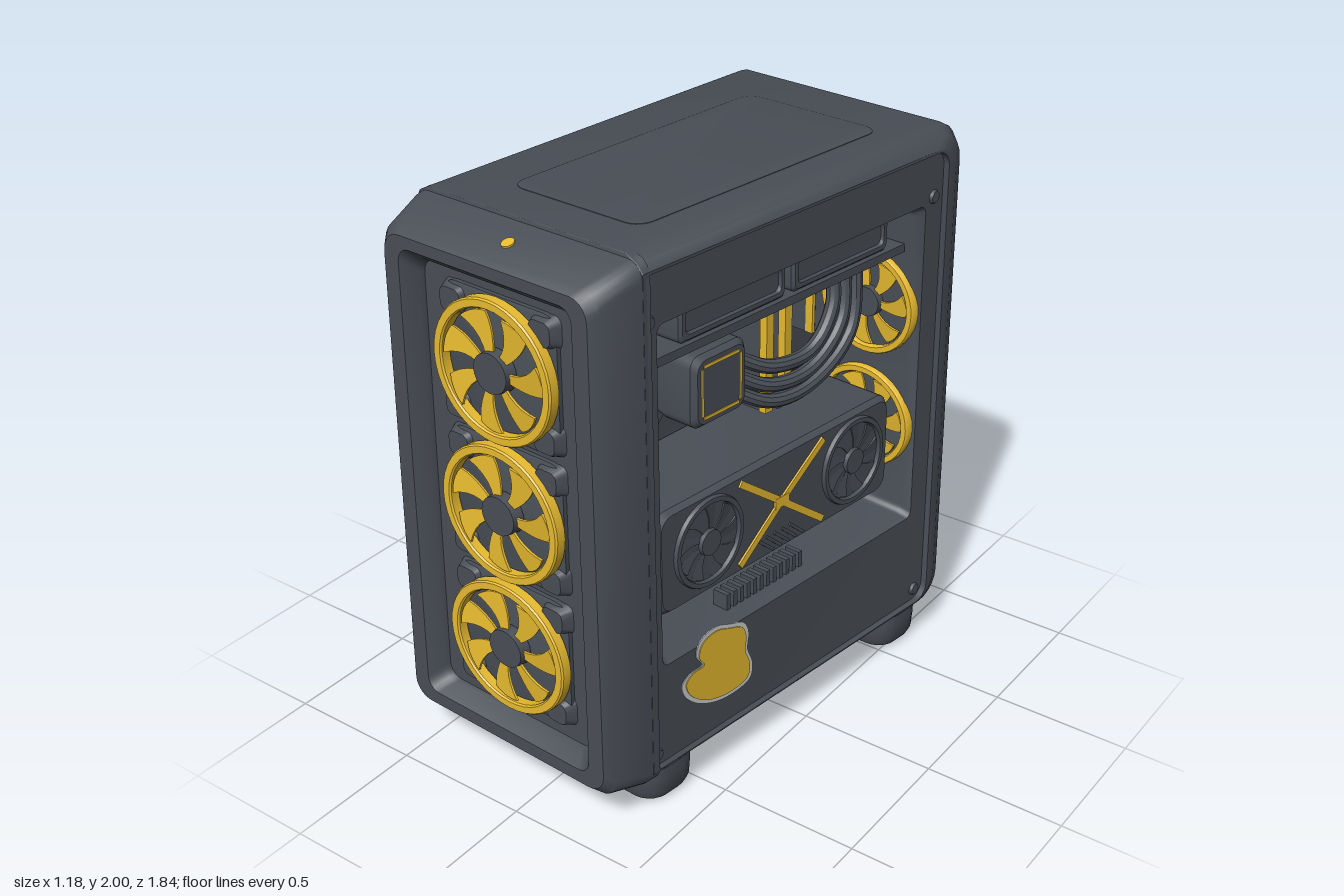
import * as THREE from 'three';
import { mergeGeometries, toCreasedNormals } from 'three/addons/utils/BufferGeometryUtils.js';

const material = (name, color) => {
  const m = new THREE.MeshStandardMaterial({ color });
  m.name = name;
  return m;
};

// Case space (x -0.5..0.5, z -0.9..0.9) is bent to the skewed, tapering footprint.
function warp(geo) {
  const p = geo.attributes.position, mix = THREE.MathUtils.lerp;
  for (let i = 0; i < p.count; i++) {
    const s = p.getX(i) + 0.5, y = p.getY(i), t = (p.getZ(i) + 0.9) / 1.8;
    const x = mix(mix(-0.45, 0.6, s), mix(-0.605, 0.36, s), t);
    const z = mix(mix(-0.925, -0.825, s), mix(0.865, 0.92, s), t);
    p.setXYZ(i, x * (1 - 0.026 * (y - 0.2)), y, z);
  }
  return geo;
}

// Rounded rectangle as a loop of points; r1 and r2 are the radii at the a0 and a1 sides.
function loopPoints(a0, a1, b0, b1, r1, r2) {
  const corners = [[a1 - r2, b0 + r2, r2, -1], [a1 - r2, b1 - r2, r2, 0], [a0 + r1, b1 - r1, r1, 1], [a0 + r1, b0 + r1, r1, 2]];
  return corners.flatMap(([a, b, r, q]) => [0, 1, 2, 3, 4, 5].map((k) => {
    const t = (q + k / 5) * Math.PI / 2;
    return [a + r * Math.cos(t), b + r * Math.sin(t)];
  }));
}

// Skin through rounded rectangles [c, a0, a1, b0, b1, r1, r2], capped at both ends.
// Axis x: a = -z, b = y.  Axis y: a = x, b = -z.  Axis z: a = x, b = y.
function loft(axis, loops) {
  const place = { x: (a, b, c) => [c, b, -a], y: (a, b, c) => [a, c, -b], z: (a, b, c) => [a, b, c] }[axis];
  const pos = [], idx = [], n = 24;
  for (const [c, a0, a1, b0, b1, r1, r2 = r1] of loops)
    for (const [a, b] of loopPoints(a0, a1, b0, b1, r1, r2)) pos.push(...place(a, b, c));
  for (let i = 0; i < loops.length - 1; i++)
    for (let j = 0; j < n; j++) {
      const k = (j + 1) % n, a = i * n + j, b = i * n + k, c = a + n, d = b + n;
      idx.push(a, b, d, a, d, c);
    }
  const last = (loops.length - 1) * n;
  for (let j = 1; j < n - 1; j++) idx.push(0, j + 1, j, last, last + j, last + j + 1);
  const g = new THREE.BufferGeometry();
  g.setAttribute('position', new THREE.Float32BufferAttribute(pos, 3));
  g.setIndex(idx);
  return g;
}

const box = (x, y, z, w, h, d) => new THREE.BoxGeometry(w, h, d).translate(x, y, z);

export function createModel() {
  const model = new THREE.Group();
  model.name = 'computerCase';
  const grey = material('slateGrey', 0x494e56);
  const yellow = material('yellow', 0xe8bb30);
  const pale = material('paleGrey', 0xcdd0d2);

  function add(name, geo, mat) {
    geo.deleteAttribute('uv');
    const mesh = new THREE.Mesh(toCreasedNormals(warp(geo), 0.6), mat);
    mesh.name = name;
    model.add(mesh);
  }

  // Shell with a slightly sunk side panel and the window cavity in it
  const outer = (c, i, back) => [c, -0.72, 0.9 - back, 0.12 + i, 2 - i, 0.004, 0.1];
  const panel = (c) => [c, -0.705, 0.76, 0.175, 1.94, 0.02, 0.06];
  const hole = (c, i) => [c, -0.645 + i, 0.67 - i, 0.55 + i, 1.76 - i, 0.03];
  add('shell', loft('x', [outer(-0.5, 0.06, 0.06), outer(-0.48, 0.02, 0.02), outer(-0.44, 0, 0), outer(0.4, 0, 0),
    outer(0.43, 0, 0.01), outer(0.475, 0.022, 0.045), outer(0.5, 0.05, 0.1), panel(0.5), panel(0.478),
    hole(0.478, 0), hole(0.44, 0.015), hole(0.04, 0.015)]), grey);

  // Front frame with recessed fan panel
  const rim = (c, w, b0, b1, r) => [c, -w, w, b0, b1, r];
  add('frontFrame', loft('z', [rim(0.69, 0.5, 0.12, 1.995, 0.06), rim(0.74, 0.498, 0.12, 1.98, 0.06),
    rim(0.87, 0.475, 0.14, 1.935, 0.07), rim(0.9, 0.45, 0.165, 1.91, 0.07), rim(0.9, 0.385, 0.215, 1.87, 0.05),
    rim(0.85, 0.35, 0.25, 1.83, 0.05), rim(0.83, 0.345, 0.255, 1.825, 0.05)]), grey);

  // Shallow panels on the top and back
  add('topPanel', loft('y', [[1.99, -0.245, 0.32, -0.55, 0.61, 0.06], [2.002, -0.245, 0.32, -0.55, 0.61, 0.06],
    [2.004, -0.235, 0.31, -0.54, 0.6, 0.055]]), grey);
  add('backPanel', loft('z', [[-0.906, -0.3, 0.24, 0.51, 1.59, 0.06], [-0.904, -0.31, 0.25, 0.5, 1.6, 0.06],
    [-0.89, -0.31, 0.25, 0.5, 1.6, 0.06]]), grey);

  // Feet
  for (const x of [-0.355, 0.355]) for (const z of [0.59, -0.655]) {
    const foot = (y, r) => [y, x - r, x + r, -z - r, -z + r, r * 0.7];
    add('foot', loft('y', [foot(0, 0.08), foot(0.012, 0.105), foot(0.04, 0.118), foot(0.1, 0.122), foot(0.14, 0.122)]), grey);
  }

  // Power button and panel screws
  add('powerButton', new THREE.CylinderGeometry(0.022, 0.022, 0.02, 16).rotateX(0.34).translate(0.03, 1.952, 0.81), yellow);
  for (const z of [0.68, -0.71]) for (const y of [0.22, 1.78])
    add('screw', new THREE.CylinderGeometry(0.02, 0.026, 0.012, 12).rotateZ(-Math.PI / 2).translate(0.482, y, z), grey);

  // Fan facing +z, then moved by the matrix
  function fan(name, r, count, matrix, mat) {
    const ring = new THREE.LatheGeometry([[0.86, -0.02], [1, -0.02], [1, 0.012], [0.98, 0.018], [0.88, 0.018], [0.86, 0.012], [0.86, -0.02]]
      .map(([a, b]) => new THREE.Vector2(a * r, b)), 40).rotateX(Math.PI / 2);
    add(name + 'Ring', ring.applyMatrix4(matrix), mat);
    const at = (k, t) => [k * r * Math.cos(t), k * r * Math.sin(t)];
    const step = Math.PI * 2 / count, s = new THREE.Shape();
    s.moveTo(...at(0.25, -0.3 * step));
    s.quadraticCurveTo(...at(0.6, -0.3 * step), ...at(0.82, -0.12 * step));
    s.quadraticCurveTo(...at(0.88, 0.15 * step), ...at(0.82, 0.46 * step));
    s.quadraticCurveTo(...at(0.55, 0.12 * step), ...at(0.25, 0.25 * step));
    const blades = [];
    for (let i = 0; i < count; i++)
      blades.push(new THREE.ExtrudeGeometry(s, { depth: 0.008, bevelEnabled: false, curveSegments: 5 })
        .rotateX(0.12).translate(0, 0, -0.002).rotateZ(i * step));
    add(name + 'Blades', mergeGeometries(blades).applyMatrix4(matrix), mat);
    add(name + 'Hub', new THREE.CylinderGeometry(r * 0.28, r * 0.3, 0.04, 24).rotateX(Math.PI / 2).applyMatrix4(matrix), grey);
  }
  const facingFront = (x, y, z) => new THREE.Matrix4().makeTranslation(x, y, z);
  const facingSide = (x, y, z) => facingFront(x, y, z).multiply(new THREE.Matrix4().makeRotationY(Math.PI / 2));

  // Three front fans, a little wider than tall, on square mounts with a pad at each corner
  for (const y of [0.55, 1.055, 1.555]) {
    const mount = (z, h) => [z, 0.01 - h, 0.01 + h, y - h * 0.95, y + h * 0.95, 0.05];
    add('fanMount', loft('z', [mount(0.82, 0.25), mount(0.845, 0.25), mount(0.85, 0.24)]), grey);
    for (const sx of [-1, 1]) for (const sy of [-1, 1]) {
      const x = 0.01 + sx * 0.2, v = y + sy * 0.18;
      add('fanCorner', loft('z', [[0.83, x - 0.06, x + 0.06, v - 0.055, v + 0.055, 0.03],
        [0.868, x - 0.045, x + 0.045, v - 0.04, v + 0.04, 0.025]]), grey);
    }
    fan('frontFan', 0.242, 7, facingFront(0.012, y, 0.877).scale(new THREE.Vector3(1.09, 1, 1)), yellow);
  }

  // Two fans on the rear wall of the cavity
  for (const y of [0.91, 1.36]) fan('rearFan', 0.195, 7, facingFront(0.275, y, -0.649), yellow);

  // Radiator under the roof
  add('radiator', box(0.24, 1.6, -0.01, 0.36, 0.03, 1.26), grey);
  for (const z of [0.222, -0.31]) {
    const block = (x, i) => [x, -z - 0.25 + i, -z + 0.25 - i, 1.615 + i, 1.748 - i, 0.02];
    add('radiatorFan', loft('x', [block(0.06, 0), block(0.4, 0), block(0.41, 0.01), block(0.41, 0.025), block(0.4, 0.03)]), grey);
  }

  // Processor cooler with mounting legs and lit square
  for (const t of [1, -1])
    add('coolerLeg', box(0, 0, 0, 0.06, 0.42, 0.05).rotateX(t * 0.78).translate(0.1, 1.335, 0.16), grey);
  const cooler = (x, h) => [x, -0.16 - h, -0.16 + h, 1.335 - h, 1.335 + h, 0.04];
  add('cooler', loft('x', [cooler(0.04, 0.11), cooler(0.16, 0.13), cooler(0.28, 0.13), cooler(0.3, 0.115)]), grey);
  for (const k of [-1, 1]) {
    add('coolerLight', box(0.3, 1.335 + k * 0.093, 0.16, 0.006, 0.011, 0.17), yellow);
    add('coolerLight', box(0.3, 1.335, 0.16 + k * 0.093, 0.006, 0.17, 0.011), yellow);
  }
  add('motherboardCover', box(0.1, 1.53, 0.14, 0.12, 0.06, 0.34), grey);

  // Coolant hoses
  for (const [i, y] of [1.37, 1.3, 1.24].entries()) {
    const path = new THREE.CatmullRomCurve3([[0.2, y, 0.03], [0.27, y - 0.08, -0.12], [0.3, y - 0.07, -0.3],
      [0.3, y + 0.06, -0.41 - i * 0.05], [0.27, 1.6, -0.43 - i * 0.07]].map((p) => new THREE.Vector3(...p)));
    add('hose', new THREE.TubeGeometry(path, 32, 0.026, 10), grey);
  }

  // Memory sticks with a bright outer edge
  for (const [z, w, low, top] of [[-0.173, 0.036, 1.08, 1.48], [-0.27, 0.036, 1.08, 1.47], [-0.405, 0.014, 1.3, 1.46]]) {
    add('memoryStick', box(0.12, (top + low) / 2, z, 0.17, top - low, w * 0.7), grey);
    add('memoryEdge', box(0.21, (top + low) / 2, z, 0.03, top - low, w), yellow);
  }
  for (const z of [-0.28, -0.37]) add('connector', box(0.12, 1.08, z, 0.16, 0.05, 0.06), grey);

  // Graphics card with two fans and a crossed accent
  const card = (x, i) => [x, -0.585 + i, 0.61 - i, 0.67 + i, 1.055 - i, 0.05];
  add('graphicsCard', loft('x', [card(0.05, 0), card(0.39, 0), card(0.41, 0.015)]), grey);
  for (const z of [0.35, -0.4]) fan('cardFan', 0.165, 9, facingSide(0.406, 0.87, z), grey);
  for (const [z, y] of [[0.188, 1.015], [0.188, 0.71], [-0.225, 1.015], [-0.23, 0.71]]) {
    const dz = z + 0.015, dy = y - 0.868;
    add('cardAccent', box(0, 0, 0, 0.009, 0.026, Math.hypot(dz, dy) + 0.02).rotateX(Math.atan2(-dy, dz))
      .translate(0.413, 0.868 + dy / 2, -0.015 + dz / 2), yellow);
  }
  add('cardAccent', box(0.414, 0.868, -0.015, 0.009, 0.04, 0.07), yellow);
  for (let i = 0; i < 5; i++)
    add('cardFin', box(0, 0, 0, 0.01, 0.012, 0.1).rotateX(-0.7).translate(0.41, 0.725, 0.06 - i * 0.04), grey);

  // Row of connector pins on the cavity floor
  for (let i = 0; i < 12; i++) add('pin', box(0.39, 0.595, 0.26 - i * 0.034, 0.06, 0.06, 0.018), grey);

  // Duck sticker with a pale border
  const duck = [[0.515, 0.54], [0.49, 0.565], [0.43, 0.575], [0.37, 0.555], [0.3, 0.525], [0.28, 0.48], [0.285, 0.42], [0.262, 0.36],
    [0.27, 0.305], [0.33, 0.287], [0.43, 0.295], [0.52, 0.335], [0.575, 0.39], [0.585, 0.435], [0.55, 0.46], [0.495, 0.465], [0.52, 0.505]];
  const sticker = (name, scale, depth, mat) => {
    const curve = new THREE.CatmullRomCurve3(duck.map(([z, y]) =>
      new THREE.Vector3(-0.38 - (z - 0.42) * scale, 0.43 + (y - 0.43) * scale, 0)), true);
    const shape = new THREE.Shape(curve.getPoints(68).slice(0, -1).map((p) => new THREE.Vector2(p.x, p.y)));
    add(name, new THREE.ExtrudeGeometry(shape, { depth, bevelEnabled: false }).rotateY(Math.PI / 2).translate(0.477, 0, 0), mat);
  };
  sticker('stickerBorder', 1.08, 0.004, pale);
  sticker('stickerDuck', 0.97, 0.007, yellow);
  return model;
}
